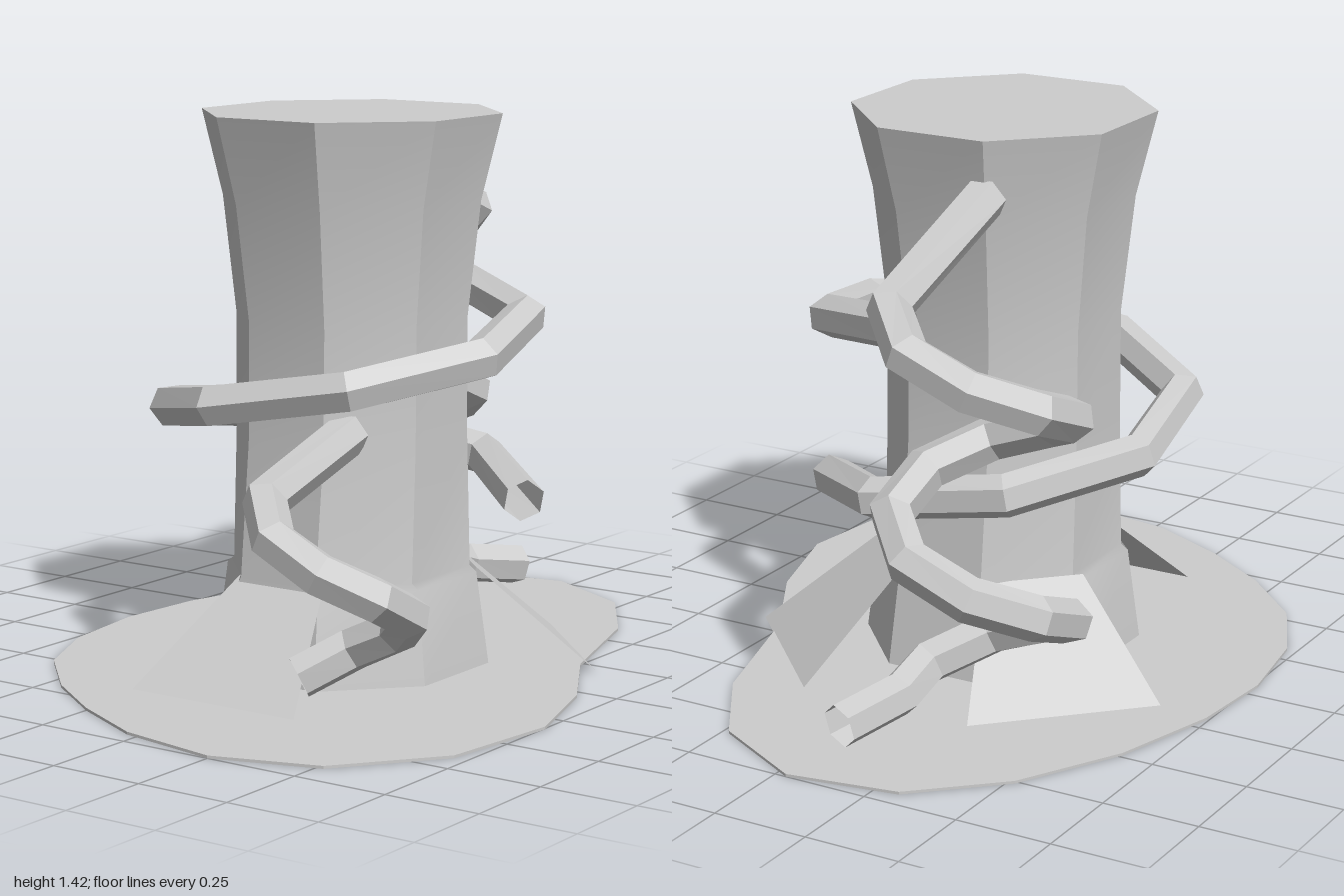
import * as THREE from 'three';

const grey = new THREE.MeshStandardMaterial({ color: 0xcccccc, side: THREE.DoubleSide });
grey.name = 'plain grey';
const greyFlat = grey.clone();
greyFlat.flatShading = true;
greyFlat.name = 'plain grey faceted';

const CX = -0.05, CZ = -0.02; // trunk axis

function add(group, name, geometry, material = grey) {
  const mesh = new THREE.Mesh(geometry, material);
  mesh.name = name;
  group.add(mesh);
  return mesh;
}

// indexed sheet from rows of points, every row the same length
function sheet(rows) {
  const n = rows[0].length, index = [];
  for (let r = 0; r < rows.length - 1; r++) {
    for (let c = 0; c < n - 1; c++) {
      const a = r * n + c, b = a + n;
      index.push(a, b, a + 1, b, b + 1, a + 1);
    }
  }
  const g = new THREE.BufferGeometry();
  g.setAttribute('position', new THREE.Float32BufferAttribute(rows.flat(2), 3));
  g.setIndex(index);
  g.computeVertexNormals();
  return g;
}

// corner k of an octagon with flat sides towards the axes
function corner(k, [y, ax, az]) {
  const a = (k + 0.5) * Math.PI / 4, s = 1 / Math.cos(Math.PI / 8);
  return [CX + Math.sin(a) * ax * s, y, CZ + Math.cos(a) * az * s];
}

// hexagonal tube with one ring on each path point
function vine(points) {
  const path = new THREE.CatmullRomCurve3(points.map((p) => new THREE.Vector3(...p)));
  path.getPointAt = path.getPoint;
  path.getTangentAt = path.getTangent;
  return new THREE.TubeGeometry(path, points.length - 1, 0.056, 6, false);
}

// descending helix; angles in degrees from +z towards +x
function helix(cx, cz, r, startAngle, step, count, y0, y1) {
  return Array.from({ length: count }, (_, i) => {
    const a = THREE.MathUtils.degToRad(startAngle + step * i);
    return [cx + r * Math.sin(a), y0 + (y1 - y0) * i / (count - 1), cz + r * Math.cos(a)];
  });
}

export function createModel() {
  const model = new THREE.Group();
  model.name = 'stumpWithVines';

  // thin ground patch
  const outline = [
    [-1, 0.25], [-0.95, -0.03], [-0.84, -0.25], [-0.71, -0.44], [-0.53, -0.62],
    [-0.31, -0.725], [-0.05, -0.765], [0.2, -0.745], [0.49, -0.665], [0.76, -0.52],
    [0.95, -0.315], [1, -0.03], [0.86, 0.23], [0.61, 0.39], [0.22, 0.51],
    [-0.05, 0.665], [-0.34, 0.755], [-0.67, 0.715], [-0.915, 0.52],
  ];
  const shape = new THREE.Shape(outline.map(([x, z]) => new THREE.Vector2(x, -z)));
  const ground = new THREE.ExtrudeGeometry(shape, { depth: 0.007, bevelEnabled: false });
  add(model, 'ground', ground.rotateX(-Math.PI / 2));

  // trunk: eight sides, each smooth along its height [y, half width x, half width z]
  const rings = [
    [1.42, 0.36, 0.36], [1.2, 0.31, 0.31], [0.9, 0.275, 0.28], [0.6, 0.28, 0.28],
    [0.26, 0.315, 0.28], [0.245, 0.317, 0.3], [0.005, 0.35, 0.33],
  ];
  const trunk = new THREE.Group();
  trunk.name = 'trunk';
  for (let k = 0; k < 8; k++) {
    add(trunk, 'trunkSide', sheet(rings.map((r) => [corner(k, r), corner(k + 1, r)])));
  }
  const cap = new THREE.CircleGeometry(0.36 / Math.cos(Math.PI / 8), 8, Math.PI / 8);
  add(trunk, 'trunkTop', cap.rotateX(-Math.PI / 2)).position.set(CX, 1.42, CZ);
  model.add(trunk);

  // root sheets fanning out of three trunk sides
  for (const angle of [45, 135, 270]) {
    const root = sheet([
      [[-0.13, 0.262, 0.3], [0.13, 0.262, 0.3]],
      [[-0.25, 0.005, 0.59], [0.25, 0.005, 0.59]],
    ]);
    const mesh = add(model, 'root', root);
    mesh.position.set(CX, 0, CZ);
    mesh.rotation.y = THREE.MathUtils.degToRad(angle);
  }

  // coiling vines
  add(model, 'tallVine', vine([
    [0.26, 1.27, -0.15],
    ...helix(0.62, -0.345, 0.215, 22.5, 45, 16, 1.1, 0.15),
    [0.66, 0.11, -0.14], [0.84, 0.08, -0.08],
  ]), greyFlat);
  add(model, 'trunkVine', vine(helix(-0.05, -0.03, 0.455, 85, -46.5, 10, 0.95, 0.43)), greyFlat);
  add(model, 'lowVine', vine([
    [-0.27, 0.64, 0.13],
    ...helix(-0.6, 0.33, 0.175, -157.5, 45, 8, 0.54, 0.08),
  ]), greyFlat);

  return model;
}
